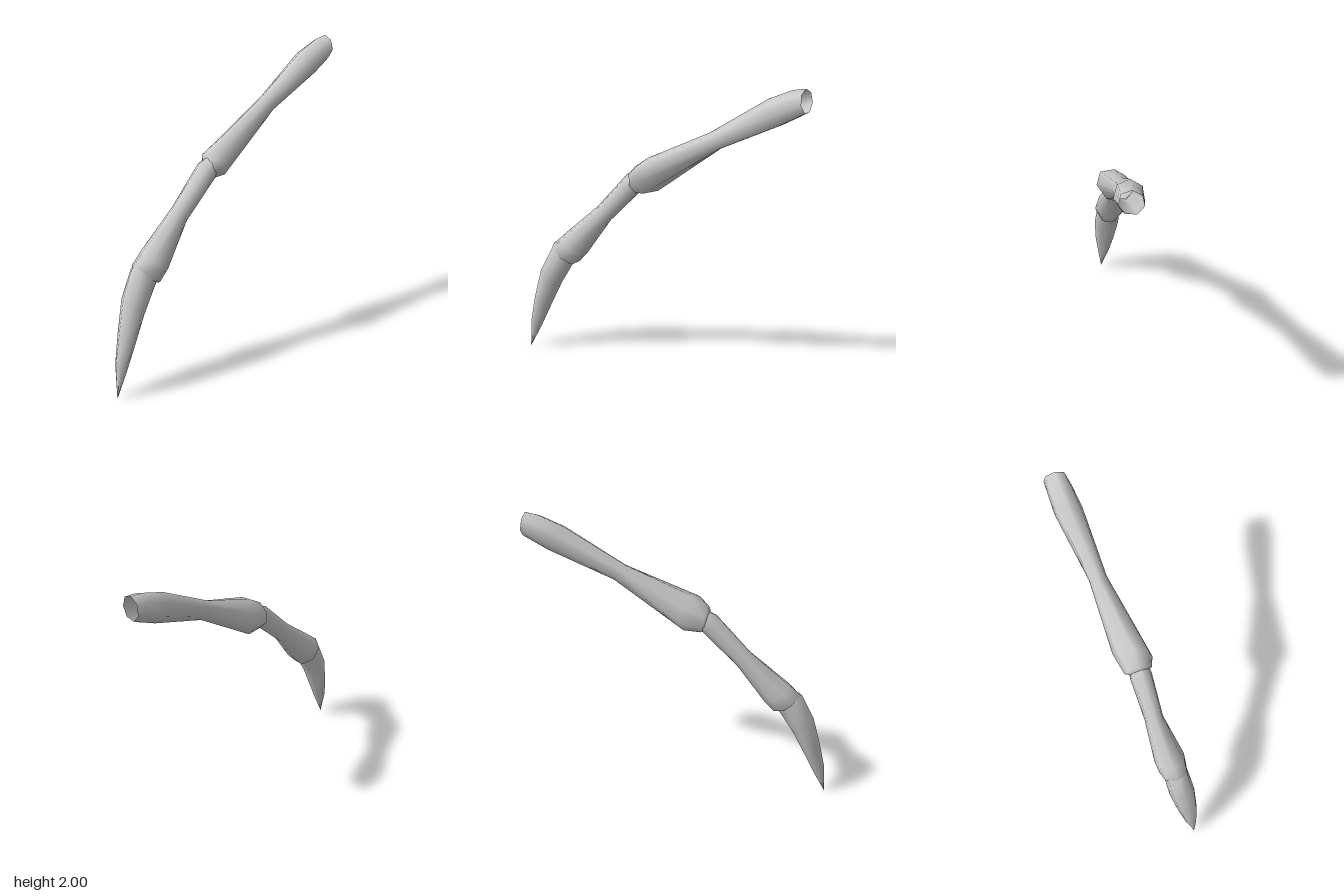
import * as THREE from 'three';

const SIDES = 7;
const LOW = Math.cos(Math.PI / SIDES);            // lowest corner of the polygon
const WIDE = Math.sin((Math.PI * 4) / SIDES);     // widest corner of the polygon

// A ring is [topX, topY, bottomX, bottomY, centreZ, halfWidth, skew].
// Skew slides the front of the ring along x.
function loft(name, rings, material) {
  const pos = [], index = [];
  for (const [tx, ty, bx, by, z, w, skew = 0] of rings) {
    for (let j = 0; j < SIDES; j++) {
      const a = (j / SIDES) * Math.PI * 2;
      const t = (Math.cos(a) + LOW) / (1 + LOW);
      const s = (Math.sin(a) / WIDE) * w;
      pos.push(bx + (tx - bx) * t + skew * s, by + (ty - by) * t, z + s);
    }
  }
  for (let i = 0; i < rings.length - 1; i++) {
    for (let j = 0; j < SIDES; j++) {
      const a = i * SIDES + j, b = i * SIDES + ((j + 1) % SIDES);
      index.push(a, a + SIDES, b, b, a + SIDES, b + SIDES);
    }
  }
  const geo = new THREE.BufferGeometry();
  geo.setAttribute('position', new THREE.Float32BufferAttribute(pos, 3));
  geo.setIndex(index);
  geo.computeVertexNormals();
  const mesh = new THREE.Mesh(geo, material);
  mesh.name = name;
  return mesh;
}

export function createModel() {
  const leg = new THREE.Group();
  leg.name = 'jointedLeg';
  const material = new THREE.MeshStandardMaterial({ color: 0xcccccc, side: THREE.DoubleSide });

  // Upper segment: open at the hip, waisted, swelling at the knee
  leg.add(loft('upperSegment', [
    [0.94, 2.0, 0.955, 1.86, -0.178, 0.07],
    [0.86, 1.985, 0.915, 1.835, -0.168, 0.077],
    [0.71, 1.92, 0.80, 1.77, -0.148, 0.087],
    [0.34, 1.675, 0.41, 1.58, -0.075, 0.056],
    [-0.06, 1.475, -0.04, 1.25, 0.02, 0.117, -0.35],
    [-0.165, 1.40, -0.13, 1.24, 0.03, 0.088],
    [-0.175, 1.35, -0.15, 1.26, 0.035, 0.055],
  ], material));

  // Middle segment: starts inside the knee, swells at the lower joint
  leg.add(loft('middleSegment', [
    [-0.15, 1.38, -0.09, 1.27, 0.035, 0.06],
    [-0.22, 1.345, -0.14, 1.23, 0.04, 0.07],
    [-0.44, 1.10, -0.36, 1.005, 0.065, 0.06],
    [-0.70, 0.865, -0.54, 0.75, 0.113, 0.1],
    [-0.77, 0.80, -0.605, 0.675, 0.122, 0.092],
    [-0.75, 0.77, -0.64, 0.675, 0.125, 0.07],
  ], material));

  // Claw: curved and tapering to a point
  leg.add(loft('claw', [
    [-0.74, 0.81, -0.60, 0.72, 0.125, 0.07],
    [-0.78, 0.795, -0.64, 0.67, 0.132, 0.08],
    [-0.86, 0.62, -0.74, 0.50, 0.156, 0.085],
    [-0.91, 0.41, -0.82, 0.32, 0.18, 0.067],
    [-0.95, 0.22, -0.885, 0.165, 0.197, 0.04],
    [-0.96, 0, -0.96, 0, 0.22, 0],
  ], material));

  return leg;
}
